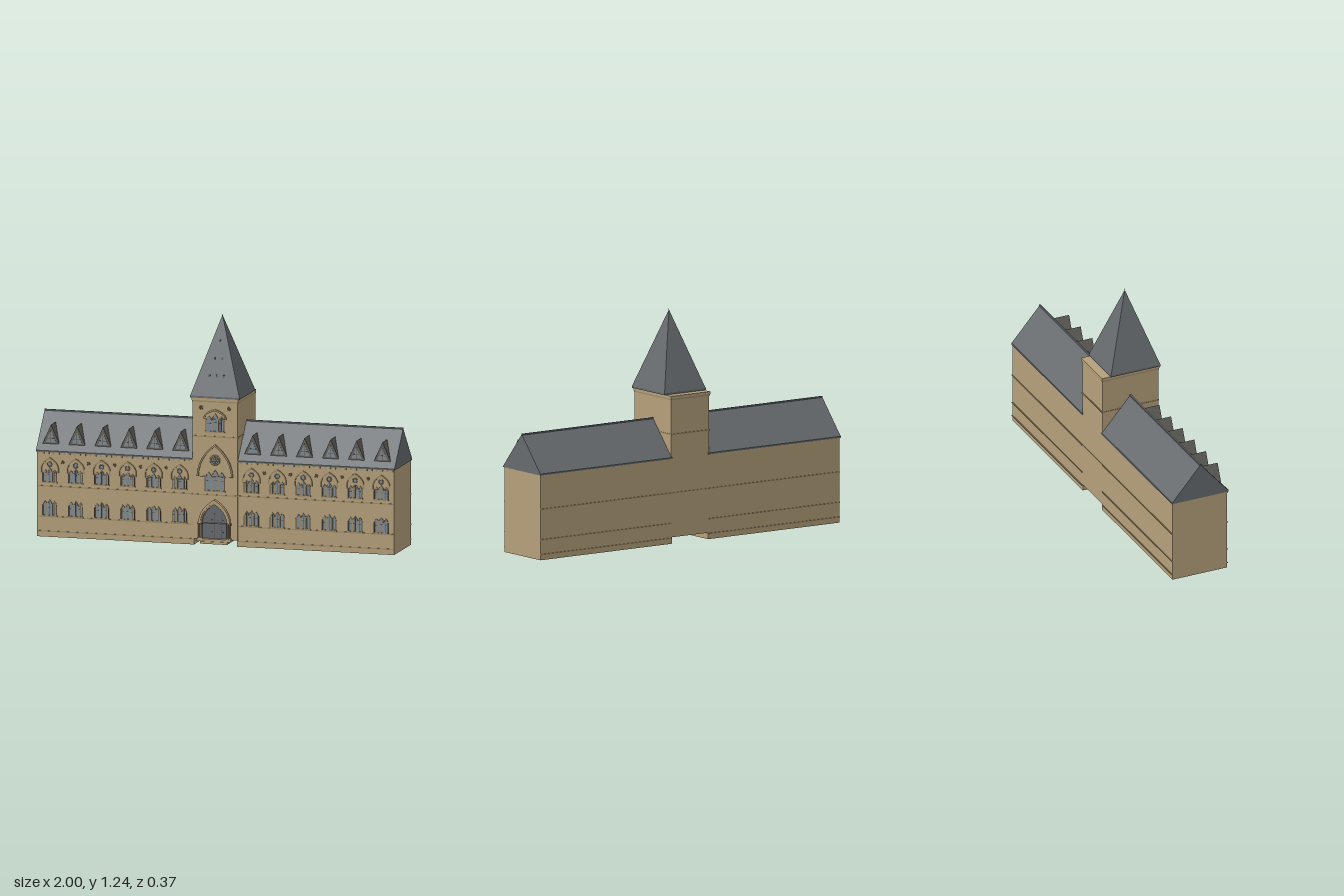
import * as THREE from 'three';

const mat = (name, color) => {
  const m = new THREE.MeshStandardMaterial({ color });
  m.name = name;
  return m;
};

export function createModel() {
  const stone = mat('sandstone', 0xb5a07b);
  const trim = mat('carved stone', 0x9c8a67);
  const slate = mat('roof slate', 0x676b6e);
  const glass = mat('window glass', 0x7f8a96);
  const lead = mat('window lead', 0x5a5140);
  const dormerMat = mat('dormer boards', 0x62605a);
  const doorMat = mat('door', 0x656b71);

  const model = new THREE.Group();
  model.name = 'collegeHall';

  const add = (parent, name, geo, m, x = 0, y = 0, z = 0) => {
    const mesh = new THREE.Mesh(geo, m);
    mesh.name = name;
    mesh.position.set(x, y, z);
    parent.add(mesh);
    return mesh;
  };
  const group = (parent, name, x, y, z) => {
    const g = new THREE.Group();
    g.name = name;
    g.position.set(x, y, z);
    parent.add(g);
    return g;
  };
  // box given by its limits
  const box = (parent, name, m, x0, x1, y0, y1, z0, z1) =>
    add(parent, name, new THREE.BoxGeometry(x1 - x0, y1 - y0, z1 - z0), m,
      (x0 + x1) / 2, (y0 + y1) / 2, (z0 + z1) / 2);
  const extrude = (shape, depth) =>
    new THREE.ExtrudeGeometry(shape, { depth, bevelEnabled: false, curveSegments: 6 });

  // pointed arch outline: half width w, springing height s, tip height t, foot at y0
  const arch = (w, s, t, y0 = 0, Type = THREE.Shape) => {
    const p = new Type();
    const c = s + (t - s) * 0.6;
    p.moveTo(-w, y0);
    p.lineTo(w, y0);
    p.lineTo(w, s);
    p.quadraticCurveTo(w * 0.92, c, 0, t);
    p.quadraticCurveTo(-w * 0.92, c, -w, s);
    p.lineTo(-w, y0);
    return p;
  };
  // open arched moulding of width b
  const hood = (w, s, t, b, foot = 0) => {
    const p = arch(w, s, t, foot);
    p.holes.push(arch(w - b, s, t - b * 1.4, foot + 0.0005, THREE.Path));
    return p;
  };
  const triangle = (w, h) => {
    const p = new THREE.Shape();
    p.moveTo(-w, 0);
    p.lineTo(w, 0);
    p.lineTo(0, h);
    p.closePath();
    return p;
  };

  // row of lancet lights with stone frames, glass and lead bars
  const lancets = (g, n, pitch, h, tall) => {
    for (let i = 0; i < n; i++) {
      const x = (i - (n - 1) / 2) * pitch;
      const top = h + (i === (n - 1) / 2 ? tall : 0);
      const w = pitch / 2;
      add(g, 'lancetFrame', extrude(hood(w, top * 0.7, top, 0.004), 0.005), trim, x);
      add(g, 'lancetGlass', extrude(arch(w - 0.004, top * 0.7, top - 0.005), 0.001), glass, x);
      box(g, 'leadUpright', lead, x - 0.0007, x + 0.0007, 0, top - 0.008, 0.001, 0.002);
      box(g, 'leadBar', lead, x - w + 0.004, x + w - 0.004, top * 0.5, top * 0.5 + 0.0015, 0.001, 0.002);
    }
    const half = n * pitch / 2;
    box(g, 'sill', trim, -half - 0.004, half + 0.004, -0.007, 0, 0, 0.007);
    for (const s of [-1, 1])
      box(g, 'sideShaft', lead, s * half - 0.002, s * half + 0.002, 0, h * 0.7, 0, 0.006);
  };
  const roundel = (g, x, y, r, pane) => {
    add(g, 'roundelRing', new THREE.TorusGeometry(r, r * 0.22, 5, 14), trim, x, y, 0.002);
    add(g, 'roundelPane', new THREE.CircleGeometry(r, 14), pane, x, y, 0.0015);
  };

  // wings, mirrored on both sides of the tower
  const F = 0.148, B = -0.176;
  for (const side of [1, -1]) {
    const wing = group(model, side > 0 ? 'leftWing' : 'rightWing', 0, 0, 0);
    const span = (name, m, a, b, y0, y1, z0, z1) =>
      box(wing, name, m, Math.min(a * side, b * side), Math.max(a * side, b * side), y0, y1, z0, z1);
    span('wingWall', stone, 0.12, 0.994, 0, 0.462, B, F);
    for (const y of [0.03, 0.11, 0.275]) {
      span('frontCourse', trim, 0.125, 0.994, y - 0.003, y + 0.003, F, F + 0.003);
      span('backCourse', trim, 0.125, 0.994, y - 0.003, y + 0.003, B - 0.004, B);
    }
    span('eaves', slate, 0.12, 0.998, 0.46, 0.468, -0.181, 0.155);

    // gabled roof
    const gable = new THREE.Shape();
    gable.moveTo(-0.155, 0.466);
    gable.lineTo(0.181, 0.466);
    gable.lineTo(0.012, 0.66);
    gable.closePath();
    add(wing, 'wingRoof', extrude(gable, 0.878).rotateY(Math.PI / 2), slate, side > 0 ? 0.12 : -0.998);
    span('ridge', slate, 0.12, 0.998, 0.655, 0.663, -0.016, -0.008);

    for (let i = 0; i < 6; i++) {
      const x = side * (0.2 + i * 0.1445);

      const low = group(wing, 'lowerWindow', x, 0.118, F);
      lancets(low, 3, 0.026, 0.078, 0.006);

      const up = group(wing, 'upperWindow', x, 0.3, F);
      lancets(up, 3, 0.026, 0.066, 0.01);
      add(up, 'hoodMould', extrude(hood(0.05, 0.075, 0.132, 0.007, 0.05), 0.007), trim);
      roundel(up, 0, 0.094, 0.012, glass);
      if (i < 5) roundel(up, side * 0.0722, 0.108, 0.008, lead);

      const dormer = group(wing, 'dormer', x, 0.497, 0);
      add(dormer, 'dormerRoof', extrude(triangle(0.048, 0.108), 0.095), dormerMat, 0, 0, 0.03);
      add(dormer, 'dormerGlass', extrude(triangle(0.028, 0.066), 0.001), glass, 0, 0.012, 0.125);
      box(dormer, 'dormerUpright', lead, -0.001, 0.001, 0.012, 0.075, 0.126, 0.128);
      box(dormer, 'dormerBar', lead, -0.018, 0.018, 0.033, 0.035, 0.126, 0.128);
    }
    // bracket row under the front eaves
    for (let i = 0; i < 30; i++) {
      const x = 0.145 + i * 0.029;
      span('bracket', trim, x - 0.004, x + 0.004, 0.45, 0.46, F, F + 0.005);
    }
  }

  // tower
  const T = 0.155;
  const tower = group(model, 'tower', 0, 0, 0);
  box(tower, 'towerWall', stone, -0.126, 0.126, 0.035, 0.78, B, T);
  box(tower, 'cornice', stone, -0.13, 0.13, 0.786, 0.8, -0.181, T + 0.004);
  box(tower, 'corniceMould', trim, -0.128, 0.128, 0.778, 0.786, -0.179, T + 0.002);
  box(tower, 'towerCourse', trim, -0.128, 0.128, 0.588, 0.595, -0.18, T + 0.002);
  box(tower, 'towerCourse', trim, -0.127, 0.127, 0.272, 0.278, -0.178, T + 0.002);

  // spire with a lip, finial and small vents on the front slope
  const spire = new THREE.ConeGeometry(Math.SQRT2, 0.42, 4).rotateY(Math.PI / 4)
    .scale(0.137, 1, 0.146).toNonIndexed();
  spire.computeVertexNormals();
  add(tower, 'spire', spire, slate, 0, 1.02, 0.015);
  box(tower, 'spireLip', slate, -0.137, 0.137, 0.8, 0.81, -0.131, 0.161);
  add(tower, 'finial', new THREE.ConeGeometry(0.005, 0.03, 6), slate, 0, 1.225, 0.015);
  for (const [y, xs] of [[0.915, [-0.04, 0, 0.04]], [1.005, [-0.021, 0.021]], [1.095, [0]]])
    for (const x of xs) {
      const z = 0.015 + 0.146 * (1.23 - y) / 0.42;
      box(tower, 'spireVent', dormerMat, x - 0.004, x + 0.004, y - 0.008, y + 0.008, z - 0.012, z + 0.002);
    }

  // belfry window
  const belfry = group(tower, 'belfryWindow', 0, 0.622, T);
  lancets(belfry, 3, 0.034, 0.082, 0.014);
  add(belfry, 'hoodMould', extrude(hood(0.063, 0.075, 0.12, 0.008, 0.065), 0.008), trim);
  for (const s of [-1, 1]) roundel(belfry, s * 0.077, 0.125, 0.009, lead);

  // great window
  const great = group(tower, 'greatWindow', 0, 0.3, T);
  lancets(great, 3, 0.036, 0.1, 0.012);
  add(great, 'greatHood', extrude(hood(0.1, 0.085, 0.252, 0.009, 0.075), 0.008), trim);
  roundel(great, 0, 0.165, 0.024, glass);
  for (let i = 0; i < 6; i++) {
    const a = i * Math.PI / 3;
    add(great, 'rosePetal', new THREE.TorusGeometry(0.008, 0.0015, 4, 8), trim,
      Math.cos(a) * 0.014, 0.165 + Math.sin(a) * 0.014, 0.002);
  }

  // entrance: stepped arches, leaf, shafts and steps
  const porch = group(tower, 'entrance', 0, 0.035, T);
  add(porch, 'outerArch', extrude(hood(0.087, 0.1, 0.218, 0.012, 0.09), 0.024), stone);
  add(porch, 'middleArch', extrude(hood(0.077, 0.1, 0.203, 0.009), 0.017), trim);
  add(porch, 'door', extrude(arch(0.069, 0.1, 0.192), 0.004), doorMat);
  for (const x of [-0.035, 0, 0.035])
    box(porch, 'doorJoint', lead, x - 0.0008, x + 0.0008, 0, 0.14, 0.004, 0.005);
  for (const y of [0.04, 0.105])
    for (const x of [-0.045, -0.015, 0.015, 0.045])
      box(porch, 'doorStud', lead, x - 0.002, x + 0.002, y - 0.002, y + 0.002, 0.004, 0.007);
  for (const s of [-1, 1])
    for (const [x, z] of [[0.073, 0.015], [0.086, 0.015]]) {
      add(porch, 'shaft', new THREE.CylinderGeometry(0.0042, 0.0042, 0.075, 8), trim, s * x, 0.045, z);
      box(porch, 'shaftBase', stone, s * x - 0.006, s * x + 0.006, 0, 0.01, 0, z + 0.007);
      box(porch, 'capital', lead, s * x - 0.006, s * x + 0.006, 0.082, 0.092, 0, z + 0.007);
    }
  box(tower, 'upperStep', stone, -0.095, 0.095, 0.027, 0.04, 0.13, 0.182);
  box(tower, 'lowerStep', stone, -0.075, 0.075, 0.014, 0.027, 0.13, 0.187);

  return model;
}
